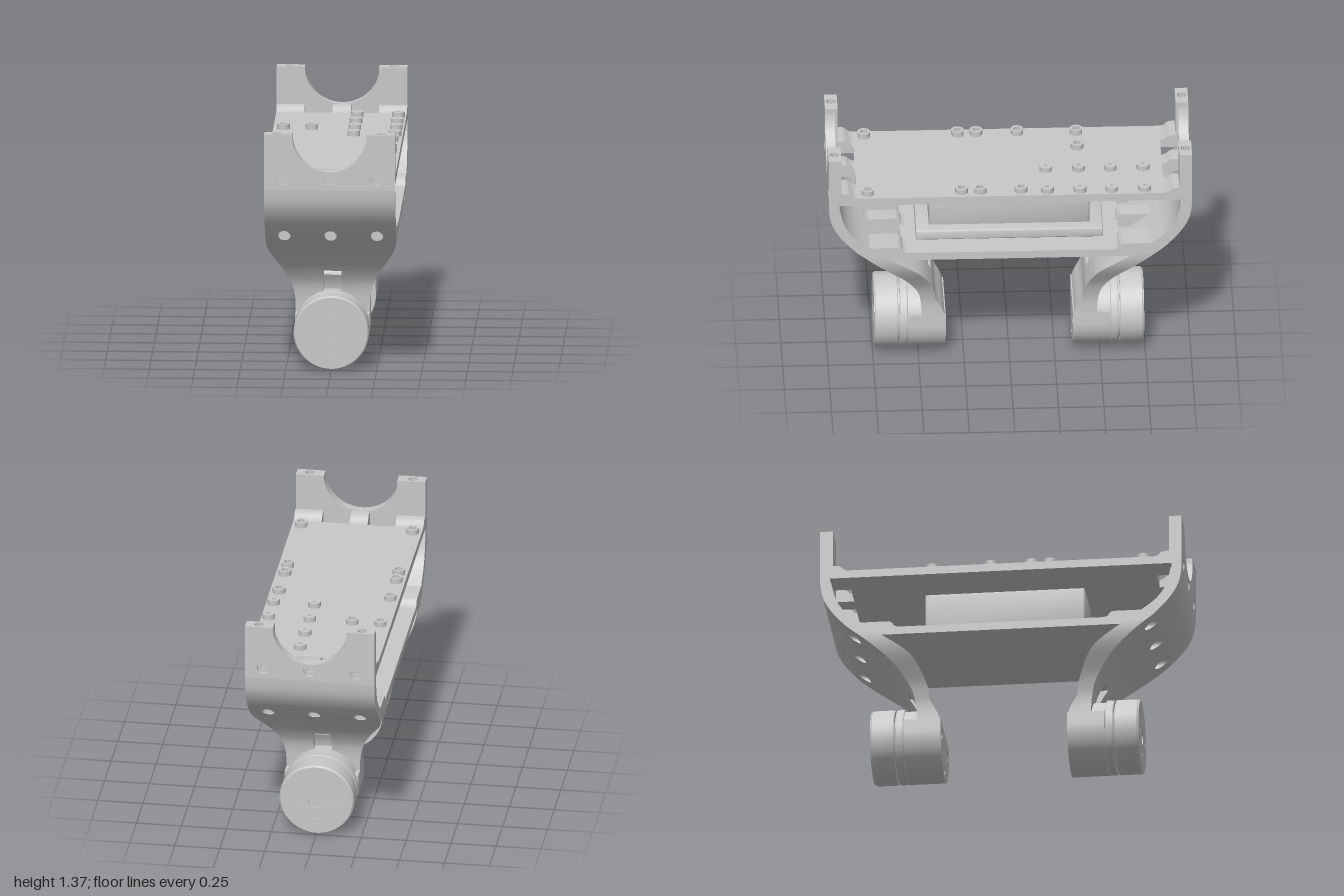
import * as THREE from 'three';
import { toCreasedNormals } from 'three/addons/utils/BufferGeometryUtils.js';
import { RoundedBoxGeometry } from 'three/addons/geometries/RoundedBoxGeometry.js';

const gray = new THREE.MeshStandardMaterial({ color: 0xc8c8c8 });
gray.name = 'machined gray';

function add(parent, name, geometry) {
  const mesh = new THREE.Mesh(toCreasedNormals(geometry, 0.6), gray);
  mesh.name = name;
  parent.add(mesh);
  return mesh;
}

// Smooth z(y) or width(y) lookup through a few control points listed from low to high y
function lookup(points) {
  const pts = new THREE.SplineCurve(points.map(([v, y]) => new THREE.Vector2(v, y))).getPoints(160);
  return (y) => {
    if (y <= pts[0].y) return pts[0].x;
    for (let i = 1; i < pts.length; i++) {
      const a = pts[i - 1], b = pts[i];
      if (y <= b.y) return a.x + (b.x - a.x) * (y - a.y) / (b.y - a.y || 1);
    }
    return pts[pts.length - 1].x;
  };
}

const zOut = lookup([[0.48, 0.26], [0.49, 0.385], [0.515, 0.465], [0.59, 0.57], [0.69, 0.66],
  [0.83, 0.77], [0.864, 0.8], [0.935, 0.88], [0.981, 0.96], [0.998, 1.04], [1.0, 1.08]]);
const zIn = lookup([[0.35, 0.26], [0.37, 0.32], [0.405, 0.385], [0.425, 0.48], [0.5, 0.615],
  [0.66, 0.73], [0.775, 0.81], [0.86, 0.877], [0.914, 0.96], [0.945, 1.085]]);
const width = lookup([[0.205, 0.33], [0.212, 0.39], [0.24, 0.475], [0.28, 0.545], [0.315, 0.6],
  [0.341, 0.65], [0.356, 0.7], [0.36, 0.74]]);

const V = (x, y, z) => [x, y, z];
const quad = (out, a, b, c, d) => out.push(...a, ...b, ...c, ...a, ...c, ...d);

function fromPositions(pos) {
  const g = new THREE.BufferGeometry();
  g.setAttribute('position', new THREE.Float32BufferAttribute(pos, 3));
  g.computeVertexNormals();
  return g;
}

// Curved slab stacked from horizontal slices, optionally without its outer skin in a band
function slab(y0, y1, xa, xb, front = zOut, open = null) {
  const pos = [], n = Math.max(2, Math.round((y1 - y0) / 0.02));
  for (let i = 0; i < n; i++) {
    const a = y0 + (y1 - y0) * i / n, b = y0 + (y1 - y0) * (i + 1) / n, mid = (a + b) / 2;
    const ring = (y) => [V(xa(y), y, front(y)), V(xb(y), y, front(y)), V(xb(y), y, zIn(y)), V(xa(y), y, zIn(y))];
    const p = ring(a), q = ring(b);
    for (let k = 0; k < 4; k++) {
      if (k === 0 && open && mid > open[0] && mid < open[1]) continue;
      const m = (k + 1) % 4;
      quad(pos, p[k], p[m], q[m], q[k]);
    }
    if (i === 0) quad(pos, p[3], p[2], p[1], p[0]);
    if (i === n - 1) quad(pos, q[0], q[1], q[2], q[3]);
  }
  return fromPositions(pos);
}

// Patch of outer skin around a counterbored hole
function holePatch(cx, cy, hx, hy, r, floor) {
  const pos = [], n = 32;
  const at = (i) => {
    const t = i / n * Math.PI * 2, c = Math.cos(t), s = Math.sin(t), m = Math.max(Math.abs(c), Math.abs(s));
    const on = (x, y) => V(cx + x, cy + y, zOut(cy + y));
    return { p: on(c * r, s * r), q: on(c / m * hx, s / m * hy), f: V(cx + c * r, cy + s * r, floor) };
  };
  for (let i = 0; i < n; i++) {
    const a = at(i), b = at(i + 1);
    quad(pos, a.p, a.q, b.q, b.p);
    quad(pos, a.p, b.p, b.f, a.f);
  }
  return fromPositions(pos);
}

const circle = (x, y, r) => new THREE.Path().absarc(x, y, r, 0, Math.PI * 2, true);

function polygon(points, holes = []) {
  const s = new THREE.Shape(points.map(([x, y]) => new THREE.Vector2(x, y)));
  s.holes.push(...holes);
  return s;
}

const rect = (x0, y0, x1, y1, holes) => polygon([[x0, y0], [x1, y0], [x1, y1], [x0, y1]], holes);

function extrude(shape, depth, z = 0) {
  return new THREE.ExtrudeGeometry(shape, { depth, bevelEnabled: false, curveSegments: 32 }).translate(0, 0, z);
}

// Shape drawn as (z, y), extruded from x0 to x1
const extrudeX = (shape, x0, x1) => extrude(shape, x1 - x0, -x1).rotateY(-Math.PI / 2);

// Shape drawn as (x, -z), extruded up from y
const extrudeY = (shape, height, y) => extrude(shape, height).rotateX(-Math.PI / 2).translate(0, y, 0);

// Profile of (radius, z) points turned about the z axis
function turnZ(points, x, y) {
  return new THREE.LatheGeometry(points.map(([r, z]) => new THREE.Vector2(r, z)), 64)
    .rotateX(Math.PI / 2).translate(x, y, 0);
}

// Yoke plate with the round notch and three bolt holes
function yokeShape(r) {
  const s = new THREE.Shape();
  s.moveTo(-0.36, 1.06).lineTo(0.36, 1.06).lineTo(0.36, 1.34).lineTo(0.204, 1.34);
  s.absarc(0, 1.365, 0.205, -0.122, -Math.PI + 0.122, true);
  s.lineTo(-0.36, 1.34);
  s.holes.push(...[-0.258, 0, 0.258].map((x) => circle(x, 1.12, r)));
  return s;
}

function footShape(holes) {
  const s = new THREE.Shape();
  s.moveTo(0.205, 0.28).lineTo(-0.205, 0.28).lineTo(-0.207, 0.207);
  s.absarc(0, 0.207, 0.207, Math.PI, Math.PI * 2, false);
  s.holes.push(...holes);
  return s;
}

function createEnd() {
  const end = new THREE.Group();
  const left = (y) => -width(y), slotL = () => -0.05, slotR = () => 0.05;

  // Curved wall and arm, with a cable slot
  add(end, 'curvedWall', slab(0.52, 1.06, left, width, zOut, [0.72, 0.82]));
  add(end, 'armRight', slab(0.4, 0.52, left, slotL));
  add(end, 'armLeft', slab(0.4, 0.52, slotR, width));
  add(end, 'slotFloor', slab(0.4, 0.485, slotL, slotR, (y) => zOut(y) - 0.04));
  add(end, 'lowerArm', slab(0.27, 0.4, left, width));

  // Bolt holes in the curved wall
  for (const [x, hx] of [[-0.255, 0.105], [0, 0.15], [0.255, 0.105]]) {
    add(end, 'wallBoltHole', holePatch(x, 0.77, hx, 0.05, 0.034, 0.776));
    add(end, 'wallBoltSeat', turnZ([[0.034, 0.776], [0.018, 0.776], [0.018, 0.77], [0, 0.77]], x, 0.77));
  }

  // Notched yoke: two plates, bolt seats, thicker posts and drilled post caps
  add(end, 'yokeFront', extrude(yokeShape(0.034), 0.025, 0.975));
  add(end, 'yokeBack', extrude(yokeShape(0.019), 0.03, 0.945));
  for (const x of [-0.258, 0, 0.258]) {
    add(end, 'yokeBoltSeat', new THREE.CircleGeometry(0.02, 24).translate(x, 1.12, 0.962));
  }
  for (const s of [-1, 1]) {
    const [a, b] = [s * 0.282 - 0.078, s * 0.282 + 0.078];
    add(end, 'post', extrude(rect(a, 1.085, b, 1.34), 0.015, 0.93));
    add(end, 'postCap', extrudeY(rect(a, -1, b, -0.93, [circle(s * 0.286, -0.965, 0.025)]), 0.03, 1.34));
  }

  // Raised fillets on both decks, with open pockets between them
  const fillet = polygon([[0.95, 1.12], [0.95, 1.16], [0.9, 1.16], [0.885, 1.153], [0.87, 1.137], [0.85, 1.13], [0.85, 1.12]]);
  const pad = polygon([[0.57, 0.73], [0.67, 0.73], [0.78, 0.81], [0.62, 0.81], [0.605, 0.803], [0.59, 0.782], [0.57, 0.775]]);
  for (const [a, b] of [[-0.36, -0.205], [-0.05, 0.05], [0.205, 0.36]]) {
    add(end, 'deckFillet', extrudeX(fillet, a, b));
    add(end, 'lowerDeckPad', extrudeX(pad, a, b));
  }

  // Round motor mount with bolt holes on its inner face
  const bolts = [[-0.15, 0.207], [0.15, 0.207], [0, 0.057]].map(([x, y]) => circle(x, y, 0.026));
  add(end, 'mountPlate', extrude(footShape(bolts), 0.05, 0.35));
  add(end, 'mountBody', extrude(footShape([]), 0.155, 0.4));

  // Motor: stator, groove and rotor with a drilled face
  add(end, 'motorBody', turnZ([[0, 0.45], [0.196, 0.45], [0.196, 0.557], [0.202, 0.557], [0.207, 0.562], [0.207, 0.597],
    [0.203, 0.602], [0.175, 0.602], [0.175, 0.61], [0.203, 0.61], [0.207, 0.615], [0.207, 0.732],
    [0.199, 0.741], [0.199, 0.73], [0, 0.73]], 0, 0.207));
  const face = new THREE.Shape().absarc(0, 0.207, 0.199, 0, Math.PI * 2, false);
  face.holes.push(circle(0, 0.207, 0.045));
  for (const [x, y] of [[0.103, 0], [-0.103, 0], [0, 0.103], [0, -0.103]]) face.holes.push(circle(x, 0.207 + y, 0.012));
  add(end, 'motorFace', extrude(face, 0.015, 0.728));
  return end;
}

export function createModel() {
  const model = new THREE.Group();
  model.name = 'gimbalFrame';

  // Upper deck with open pockets at both ends
  const pockets = [];
  for (const x of [-0.205, 0.05]) for (const z of [-0.945, 0.845]) {
    pockets.push(new THREE.Path([[x, z], [x, z + 0.1], [x + 0.155, z + 0.1], [x + 0.155, z]]
      .map(([a, b]) => new THREE.Vector2(a, b))));
  }
  add(model, 'upperDeck', extrudeY(rect(-0.36, -0.955, 0.36, 0.955, pockets), 0.045, 1.085));

  // Lower deck
  add(model, 'lowerDeck', new THREE.BoxGeometry(0.72, 0.045, 1.2).translate(0, 0.7525, 0));

  // Battery and its base plate between the decks
  add(model, 'batteryBase', new RoundedBoxGeometry(0.44, 0.06, 1.03, 2, 0.01).translate(0, 0.802, 0));
  add(model, 'battery', new RoundedBoxGeometry(0.31, 0.24, 0.884, 2, 0.012).translate(0, 0.937, 0));

  // Standoffs on the upper deck: x, z, bore radius
  const standoffs = [[-0.303, -0.385, 0.02], [-0.147, -0.385, 0.02]];
  for (const z of [-0.74, -0.56, -0.385, -0.205]) for (const x of [0.09, 0.317]) standoffs.push([x, z, 0.01]);
  for (const z of [-0.06, 0.165, 0.267, 0.783]) for (const x of [-0.31, 0.308]) standoffs.push([x, z, 0.02]);
  for (const [x, z, r] of standoffs) {
    const ring = new THREE.Shape().absarc(x, -z, 0.035, 0, Math.PI * 2, false);
    ring.holes.push(circle(x, -z, r));
    add(model, 'standoff', extrudeY(ring, 0.03, 1.13));
  }

  // Two identical ends facing outward
  const front = createEnd(), back = createEnd();
  front.name = 'frontEnd';
  back.name = 'backEnd';
  back.rotation.y = Math.PI;
  model.add(front, back);
  return model;
}
